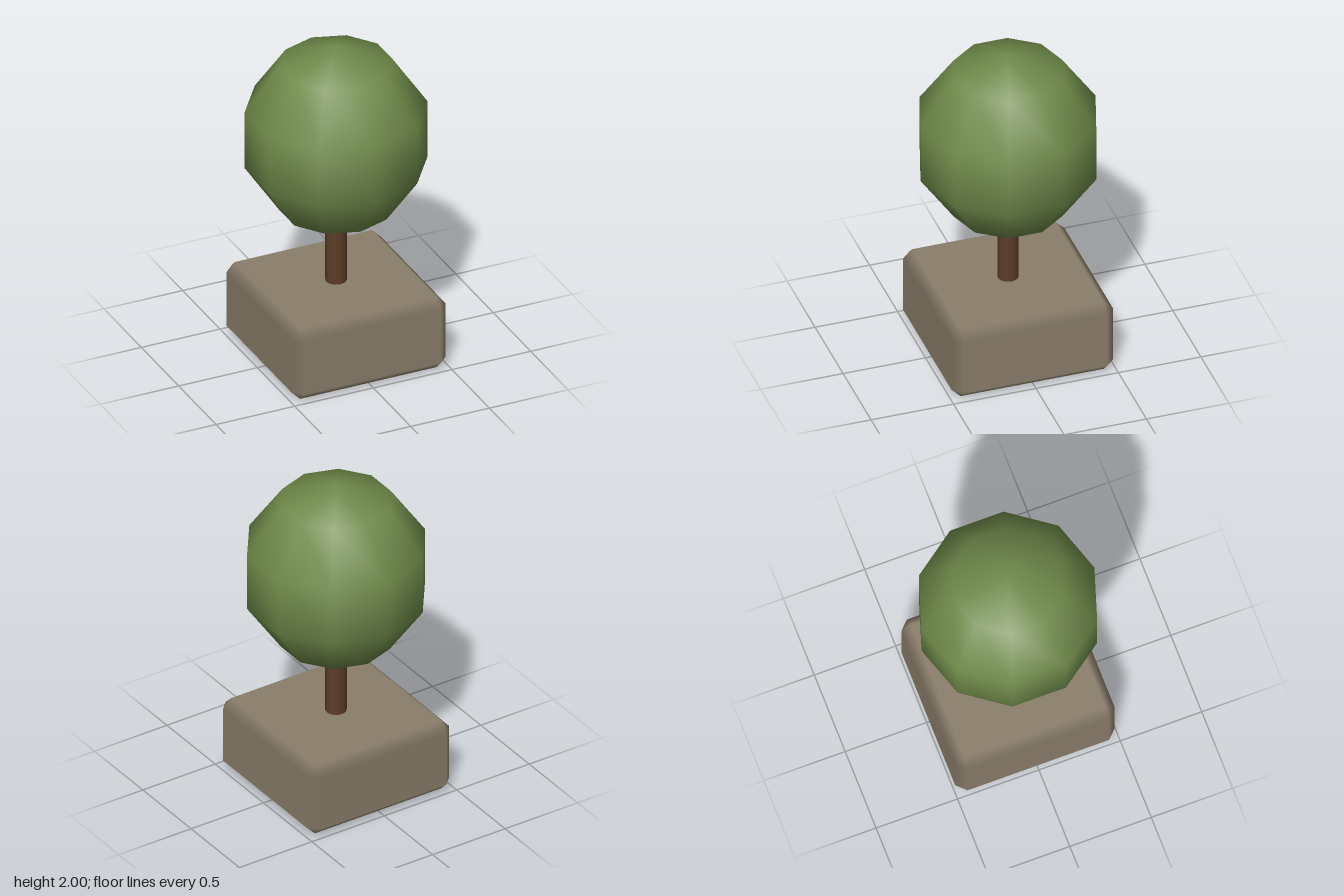
import * as THREE from 'three';
import { ConvexGeometry } from 'three/addons/geometries/ConvexGeometry.js';

const foliage = new THREE.MeshStandardMaterial({ name: 'foliage green', color: 0x6f8a4a });
const bark = new THREE.MeshStandardMaterial({ name: 'bark brown', color: 0x5c3d28 });
const stone = new THREE.MeshStandardMaterial({ name: 'planter stone', color: 0x8a7d6a });

// Box with a single chamfer on every edge; flat faces, softly shaded chamfers
function chamferedBox(w, h, d, c) {
  const half = [w / 2, h / 2, d / 2];
  const points = [];
  for (const sx of [-1, 1]) for (const sy of [-1, 1]) for (const sz of [-1, 1]) {
    for (let axis = 0; axis < 3; axis++) {
      const p = [sx, sy, sz].map((s, i) => s * (half[i] - (i === axis ? 0 : c)));
      points.push(new THREE.Vector3(...p));
    }
  }
  const geometry = new ConvexGeometry(points);
  const pos = geometry.attributes.position;
  // Each corner point takes the normal of the flat face it lies on
  for (let i = 0; i < pos.count; i++) {
    const n = [pos.getX(i), pos.getY(i), pos.getZ(i)].map((v, k) =>
      Math.abs(v) > half[k] - c / 2 ? Math.sign(v) : 0);
    geometry.attributes.normal.setXYZ(i, ...n);
  }
  return geometry;
}

export function createModel() {
  const group = new THREE.Group();
  group.name = 'pottedTree';

  const add = (name, geometry, material, y) => {
    const mesh = new THREE.Mesh(geometry, material);
    mesh.name = name;
    mesh.position.y = y;
    group.add(mesh);
  };

  // Square planter block
  add('planter', chamferedBox(0.98, 0.46, 0.98, 0.055), stone, 0.23);

  // Straight trunk, sunk into planter and crown
  add('trunk', new THREE.CylinderGeometry(0.062, 0.062, 0.6, 12), bark, 0.7);

  // Ten-sided crown, slightly taller than wide, with a corner facing front
  const crown = new THREE.SphereGeometry(1, 10, 5);
  crown.rotateY(Math.PI / 2);
  crown.scale(0.558, 0.585, 0.558);
  add('crown', crown, foliage, 1.415);

  return group;
}
